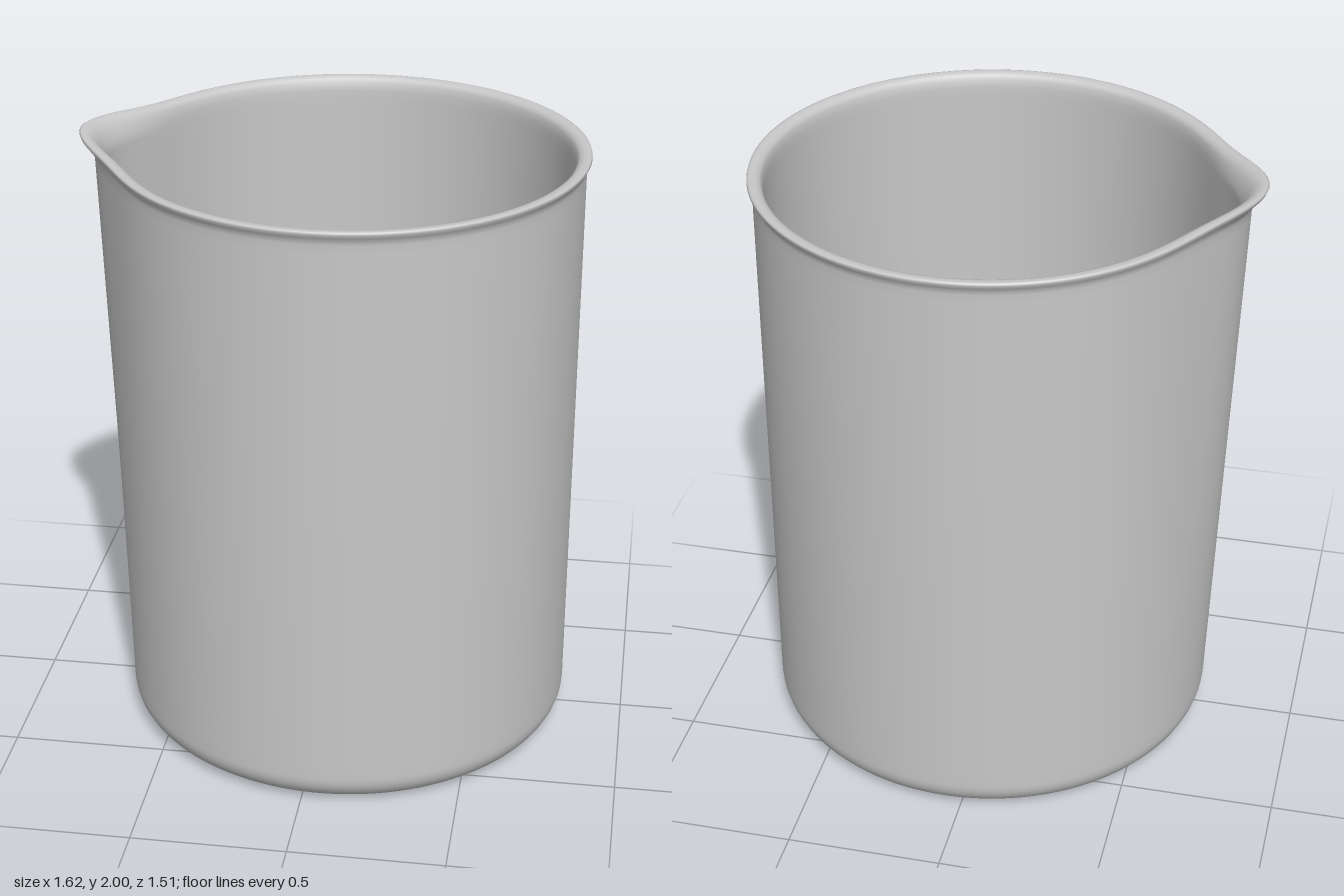
import * as THREE from 'three';
import { mergeVertices } from 'three/addons/utils/BufferGeometryUtils.js';

const CENTRE_X = 0.055; // the spout on -x shifts the round body sideways
const WALL_BASE = 0.1;
const RIM_BASE = 1.93;
const RIM_TOP = 1.975;

// Rounded corner points between two angles (degrees)
function arc(cx, cy, radius, from, to, steps) {
  return Array.from({ length: steps + 1 }, (_, i) => {
    const a = THREE.MathUtils.degToRad(from + (to - from) * i / steps);
    return [cx + radius * Math.cos(a), cy + radius * Math.sin(a)];
  });
}

// Pull the wall and rim outward into a pouring spout facing -x
function shapeSpout(geometry) {
  const p = geometry.attributes.position;
  for (let i = 0; i < p.count; i++) {
    const x = p.getX(i), y = p.getY(i), z = p.getZ(i);
    const r = Math.hypot(x, z);
    if (r < 0.5) continue;
    const angle = THREE.MathUtils.radToDeg(Math.atan2(z, -x));
    const wall = THREE.MathUtils.clamp((y - WALL_BASE) / (RIM_BASE - WALL_BASE), 0, 1);
    const rim = THREE.MathUtils.clamp((y - RIM_BASE) / (RIM_TOP - RIM_BASE), 0, 1);
    const push = (0.075 * wall + 0.037 * rim) * Math.exp(-0.5 * (angle / 11.3) ** 2);
    const lift = 0.025 * rim * Math.exp(-0.5 * (angle / 14) ** 2);
    const s = (r + push) / r;
    p.setXYZ(i, x * s, y + lift, z * s);
  }
}

export function createModel() {
  const group = new THREE.Group();
  group.name = 'beaker';
  const grey = new THREE.MeshStandardMaterial({ color: 0xc8c8c8 });
  grey.name = 'light grey';

  // Closed profile: underside, outer wall, flared rim, inner wall, floor
  const profile = [
    [0, 0], [0.62, 0],
    ...arc(0.64, 0.1, 0.1, -90, 0, 8),
    [0.74, 0.14], [0.74, 1], [0.74, 1.9], [0.74, RIM_BASE],
    [0.742, 1.943], [0.748, 1.954], [0.755, 1.966], [0.753, 1.973],
    [0.746, RIM_TOP], [0.73, 1.974], [0.716, 1.968], [0.708, 1.955],
    [0.705, RIM_BASE], [0.705, 1.9], [0.705, 1], [0.705, 0.15],
    ...arc(0.605, 0.135, 0.1, 0, -90, 8),
    [0.59, 0.035], [0, 0.035],
  ].map(([r, y]) => new THREE.Vector2(r, y));

  let geometry = new THREE.LatheGeometry(profile, 144);
  shapeSpout(geometry);
  // Weld the seam for smooth shading all round
  geometry.deleteAttribute('uv');
  geometry.deleteAttribute('normal');
  geometry = mergeVertices(geometry, 1e-5);
  geometry.computeVertexNormals();
  geometry.translate(CENTRE_X, 0, 0);

  const body = new THREE.Mesh(geometry, grey);
  body.name = 'beakerBody';
  group.add(body);
  return group;
}
